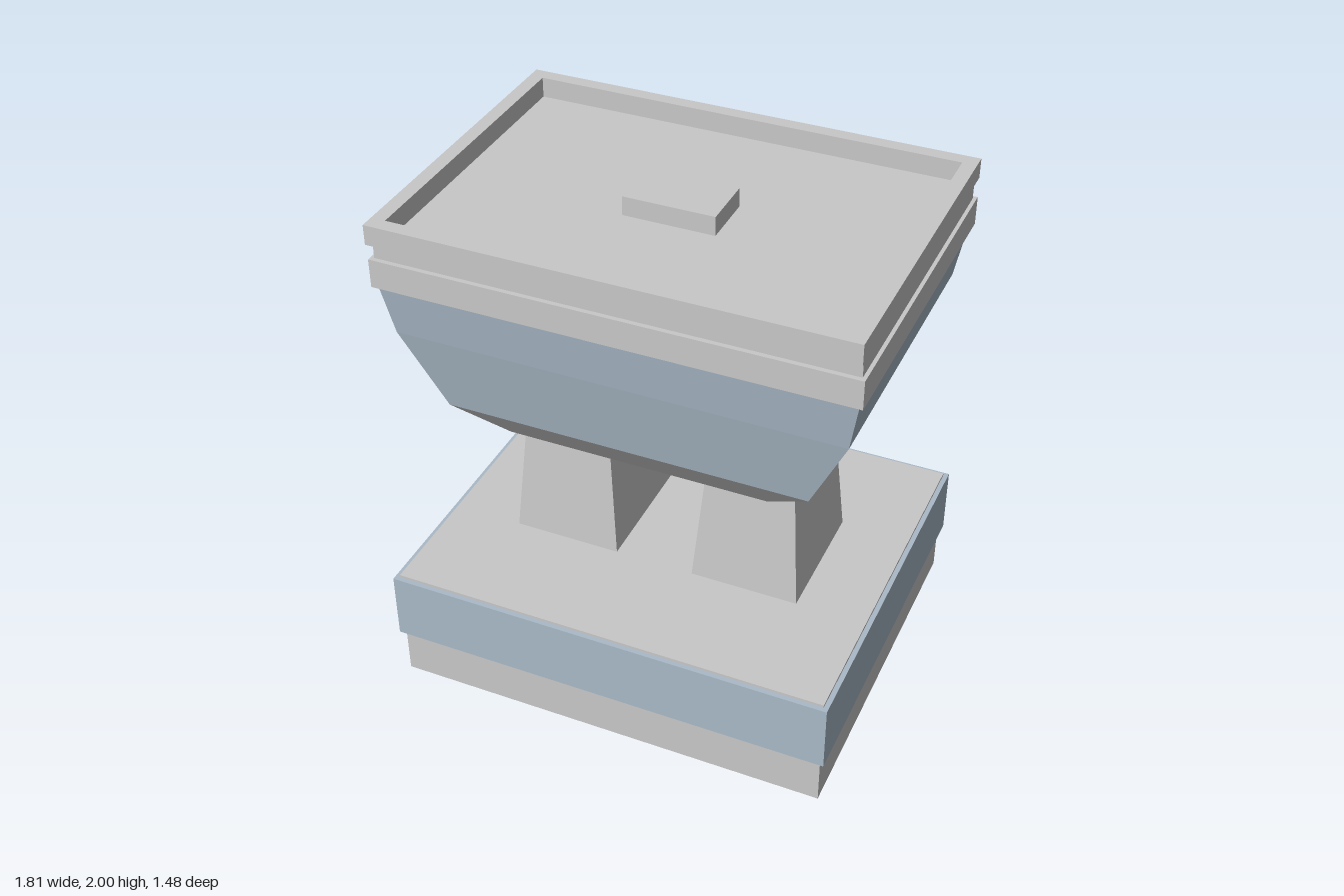
import * as THREE from 'three';

// Rectangular loft: each section is [halfWidth, halfDepth, y], followed from the underside outward and up
function loft(sections, capStart = true, capEnd = true) {
  const corners = [[1, 1], [1, -1], [-1, -1], [-1, 1]];
  const loops = sections.map(([w, d, y]) => corners.map(([sx, sz]) => [sx * w, y, sz * d]));
  const pos = [];
  const quad = (a, b, c, d) => pos.push(...a, ...b, ...c, ...a, ...c, ...d);
  for (let i = 0; i < loops.length - 1; i++) {
    for (let k = 0; k < 4; k++) {
      const n = (k + 1) % 4;
      quad(loops[i][k], loops[i][n], loops[i + 1][n], loops[i + 1][k]);
    }
  }
  const first = loops[0], last = loops[loops.length - 1];
  if (capStart) quad(first[3], first[2], first[1], first[0]);
  if (capEnd) quad(...last);
  const geo = new THREE.BufferGeometry();
  geo.setAttribute('position', new THREE.Float32BufferAttribute(pos, 3));
  geo.computeVertexNormals();
  return geo;
}

export function createModel() {
  const group = new THREE.Group();
  const stone = new THREE.MeshStandardMaterial({ color: 0xc8c8c8 });
  stone.name = 'stone grey';
  const blue = new THREE.MeshStandardMaterial({ color: 0xaabac8 });
  blue.name = 'pale blue';

  const add = (name, geo, mat, x = 0) => {
    const mesh = new THREE.Mesh(geo, mat);
    mesh.name = name;
    mesh.position.x = x;
    group.add(mesh);
  };

  // Plinth with a blue band around it
  add('plinth', loft([[0.867, 0.72, 0], [0.867, 0.72, 0.488]]), stone);
  add('plinthBand', loft([
    [0.867, 0.72, 0.2], [0.886, 0.739, 0.2], [0.886, 0.739, 0.478], [0.867, 0.72, 0.478],
  ], false, false), blue);

  // Two tapered legs
  for (const [name, side] of [['leftLeg', 1], ['rightLeg', -1]]) {
    add(name, loft([[0.215, 0.262, 0.488], [0.168, 0.212, 1.07]]), stone, side * 0.374);
  }

  // Flared basin: grey underside, blue walls
  add('basinUnderside', loft([[0.513, 0.405, 1.07], [0.7, 0.515, 1.215]], true, false), stone);
  add('basinWalls', loft([
    [0.7, 0.515, 1.215], [0.851, 0.58, 1.535], [0.887, 0.61, 1.74],
  ], false, false), blue);

  // Stepped rim folding inward to the recessed floor
  add('rim', loft([
    [0.887, 0.61, 1.74], [0.903, 0.628, 1.74], [0.903, 0.628, 1.852], [0.889, 0.61, 1.852],
    [0.889, 0.61, 1.922], [0.897, 0.644, 1.922], [0.897, 0.644, 2], [0.842, 0.589, 2],
    [0.842, 0.589, 1.92],
  ], false, true), stone);

  // Small block in the middle of the recess
  add('centreBlock', loft([[0.177, 0.109, 1.92], [0.177, 0.109, 1.995]], false, true), stone);

  return group;
}
